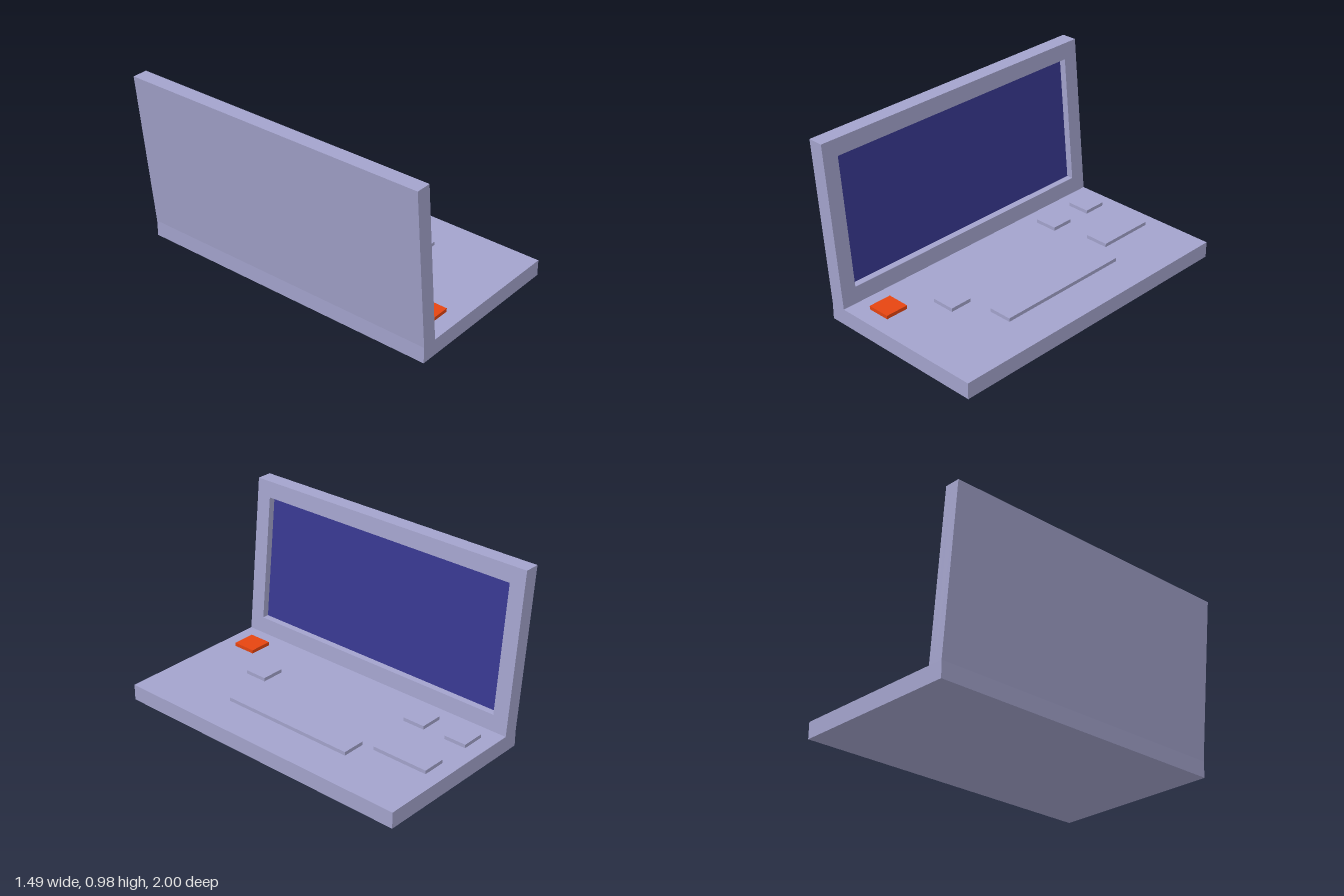
import * as THREE from 'three';

const WIDTH = 1.782, BASE_TOP = 0.09, LID_HEIGHT = 0.89;
const BACK = -0.444, FRONT = 0.531;

const bodyMat = new THREE.MeshStandardMaterial({ color: 0xa3a3cc });
const screenMat = new THREE.MeshStandardMaterial({ color: 0x383890 });
const accentMat = new THREE.MeshStandardMaterial({ color: 0xe64510 });

// Box given by its min and max corners
function box(x0, x1, y0, y1, z0, z1) {
  return new THREE.BoxGeometry(x1 - x0, y1 - y0, z1 - z0)
    .translate((x0 + x1) / 2, (y0 + y1) / 2, (z0 + z1) / 2);
}

function addMesh(parent, name, geometry, material) {
  const mesh = new THREE.Mesh(geometry, material);
  mesh.name = name;
  parent.add(mesh);
}

function rectangle(path, halfWidth, y0, y1) {
  path.moveTo(-halfWidth, y0).lineTo(halfWidth, y0);
  path.lineTo(halfWidth, y1).lineTo(-halfWidth, y1).closePath();
  return path;
}

export function createModel() {
  const model = new THREE.Group();
  model.name = 'laptop';

  // Base slab
  addMesh(model, 'base', box(BACK, FRONT, 0, BASE_TOP, -WIDTH / 2, WIDTH / 2), bodyMat);

  // Lid: solid back, raised bezel and recessed screen, all leaning backwards
  const lid = new THREE.Group();
  lid.name = 'lid';
  lid.position.set(BACK, BASE_TOP, 0);
  model.add(lid);
  const lean = new THREE.Matrix4().set(1, -0.1, 0, 0, 0, 1, 0, 0, 0, 0, 1, 0, 0, 0, 0, 1);
  const panel = 0.046, bezelDepth = 0.04;

  addMesh(lid, 'lidBack',
    box(0, panel, 0, LID_HEIGHT, -WIDTH / 2, WIDTH / 2).applyMatrix4(lean), bodyMat);

  const outline = rectangle(new THREE.Shape(), WIDTH / 2, 0, LID_HEIGHT);
  outline.holes.push(rectangle(new THREE.Path(), 0.802, 0.09, 0.80));
  const bezel = new THREE.ExtrudeGeometry(outline, { depth: bezelDepth, bevelEnabled: false })
    .rotateY(Math.PI / 2).translate(panel, 0, 0).applyMatrix4(lean);
  addMesh(lid, 'bezel', bezel, bodyMat);

  addMesh(lid, 'screen',
    box(panel - 0.01, panel + 0.002, 0.09, 0.80, -0.802, 0.802).applyMatrix4(lean), screenMat);

  // Keys: name, x range, z range, material
  const keys = [
    ['accentKey', -0.268, -0.138, 0.665, 0.798, accentMat],
    ['lowerKey', -0.088, 0.043, 0.40, 0.53, bodyMat],
    ['middleKey', -0.268, -0.138, -0.54, -0.41, bodyMat],
    ['cornerKey', -0.268, -0.138, -0.803, -0.673, bodyMat],
    ['wideKey', 0.043, 0.176, -0.803, -0.475, bodyMat],
    ['spaceBar', 0.177, 0.31, -0.405, 0.394, bodyMat],
  ];
  for (const [name, x0, x1, z0, z1, material] of keys) {
    addMesh(model, name, box(x0, x1, BASE_TOP - 0.005, 0.11, z0, z1), material);
  }

  // The whole machine stands turned on its spot
  model.rotation.y = Math.PI / 12;
  const root = new THREE.Group();
  root.add(model);
  return root;
}
